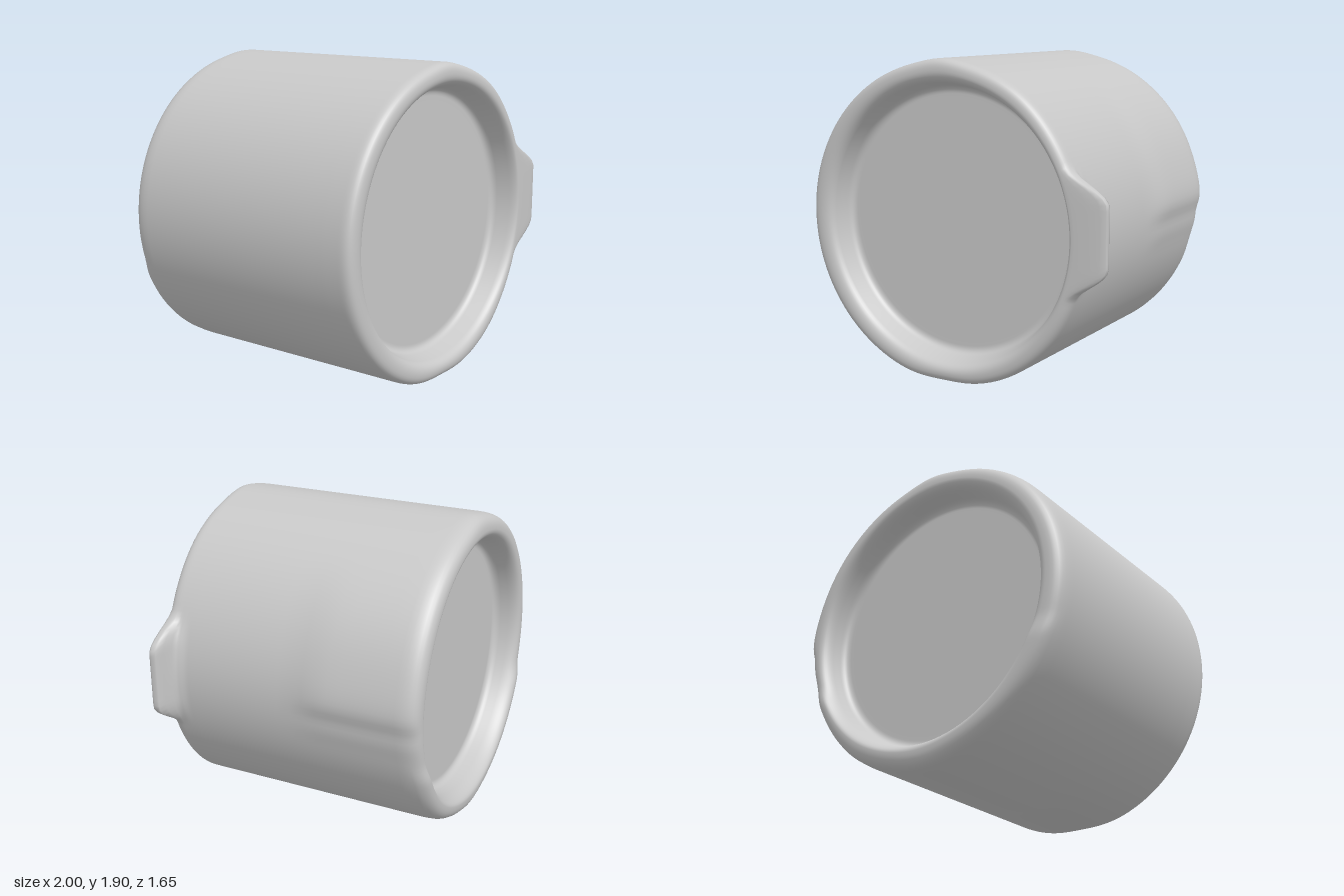
import * as THREE from 'three';
import { mergeVertices } from 'three/addons/utils/BufferGeometryUtils.js';

const smooth = THREE.MathUtils.smoothstep;
const bell = (v, width) => Math.exp(-(v * v) / (width * width));

// Closed profile of the drum: radius across, length along the axis (back to front)
function drumProfile() {
  const p = new THREE.Path();
  p.moveTo(0, -0.645);
  p.lineTo(0.7, -0.645);
  p.lineTo(0.725, -0.645);
  p.quadraticCurveTo(0.765, -0.645, 0.775, -0.69);
  p.lineTo(0.785, -0.74);
  p.quadraticCurveTo(0.8, -0.81, 0.845, -0.81);
  p.bezierCurveTo(0.9, -0.81, 0.935, -0.78, 0.935, -0.68);
  for (let i = 1; i <= 16; i++) p.lineTo(0.935, -0.68 + i * 0.082); // side wall
  for (let z = 0.65; z < 0.75; z += 0.015) p.lineTo(0.935, z); // fine rows for the tab
  p.lineTo(0.935, 0.755);
  p.quadraticCurveTo(0.935, 0.822, 0.873, 0.822);
  p.quadraticCurveTo(0.825, 0.822, 0.81, 0.77);
  p.lineTo(0.79, 0.69);
  p.quadraticCurveTo(0.78, 0.65, 0.74, 0.65);
  p.lineTo(0.71, 0.65);
  p.lineTo(0, 0.65);
  return p.getPoints(8);
}

// Soft irregularities of the wall and the pulled-out tab at the front rim
function shapeDrum(geometry) {
  const pos = geometry.attributes.position;
  for (let i = 0; i < pos.count; i++) {
    let x = pos.getX(i), y = pos.getY(i), z = pos.getZ(i);
    const r = Math.hypot(x, y);
    if (r < 0.001) continue;
    const c = x / r, s = y / r;
    const outer = smooth(r, 0.8, 0.92);

    // uneven wall radius, with a shallow groove on the side towards the back
    const toBack = 1 - smooth(z, 0.05, 0.4);
    const rear = 1 - smooth(z, -0.25, 0);
    let grow = 0.01 * Math.max(0, -c);
    grow -= 0.022 * smooth(c, 0.5, 1) * (1 - rear * smooth(y, -0.25, 0.05));
    if (c > 0) grow += rear * (0.01 * bell(y - 0.06, 0.15) - 0.012 * bell(y + 0.05, 0.06));
    if (s > 0) grow += 0.014 * bell(c, 0.15);
    else grow += (0.03 * toBack - 0.015) * bell(c, 0.2);
    grow *= outer;
    x += c * grow;
    y += s * grow;

    // front recess sits slightly off centre
    if (z > 0.6) {
      const inner = 1 - smooth(r, 0.8, 0.88);
      x += 0.012 * inner;
      y += 0.005 * inner;
    }

    // lower half of the back rim stands out a little further
    if (z < -0.74) z -= 0.02 * smooth(r, 0.78, 0.84) * smooth(-y, 0.25, 0.4);

    // tab
    if (c > 0) {
      const across = 1 - smooth(Math.abs(y - 0.035), 0.17, 0.36);
      const along = 0.15 * smooth(z, 0.66, 0.75) + 0.85 * smooth(z, 0.73, 0.775);
      const reach = Math.max(0, 1.055 - x);
      x += reach * across * along * smooth(r, 0.865, 0.915);
    }
    pos.setXYZ(i, x, y, z);
  }
}

export function createModel() {
  const model = new THREE.Group();
  const grey = new THREE.MeshStandardMaterial({ color: 0xc8c8c8 });
  grey.name = 'plain grey';

  let geometry = new THREE.LatheGeometry(drumProfile(), 180);
  geometry.rotateX(Math.PI / 2);
  geometry.deleteAttribute('uv');
  geometry.deleteAttribute('normal');
  geometry = mergeVertices(geometry, 1e-4);
  shapeDrum(geometry);
  geometry.computeVertexNormals();

  const drum = new THREE.Mesh(geometry, grey);
  drum.name = 'drumWithRimsAndTab';
  drum.position.set(-0.055, 0.95, 0);
  model.add(drum);
  return model;
}
